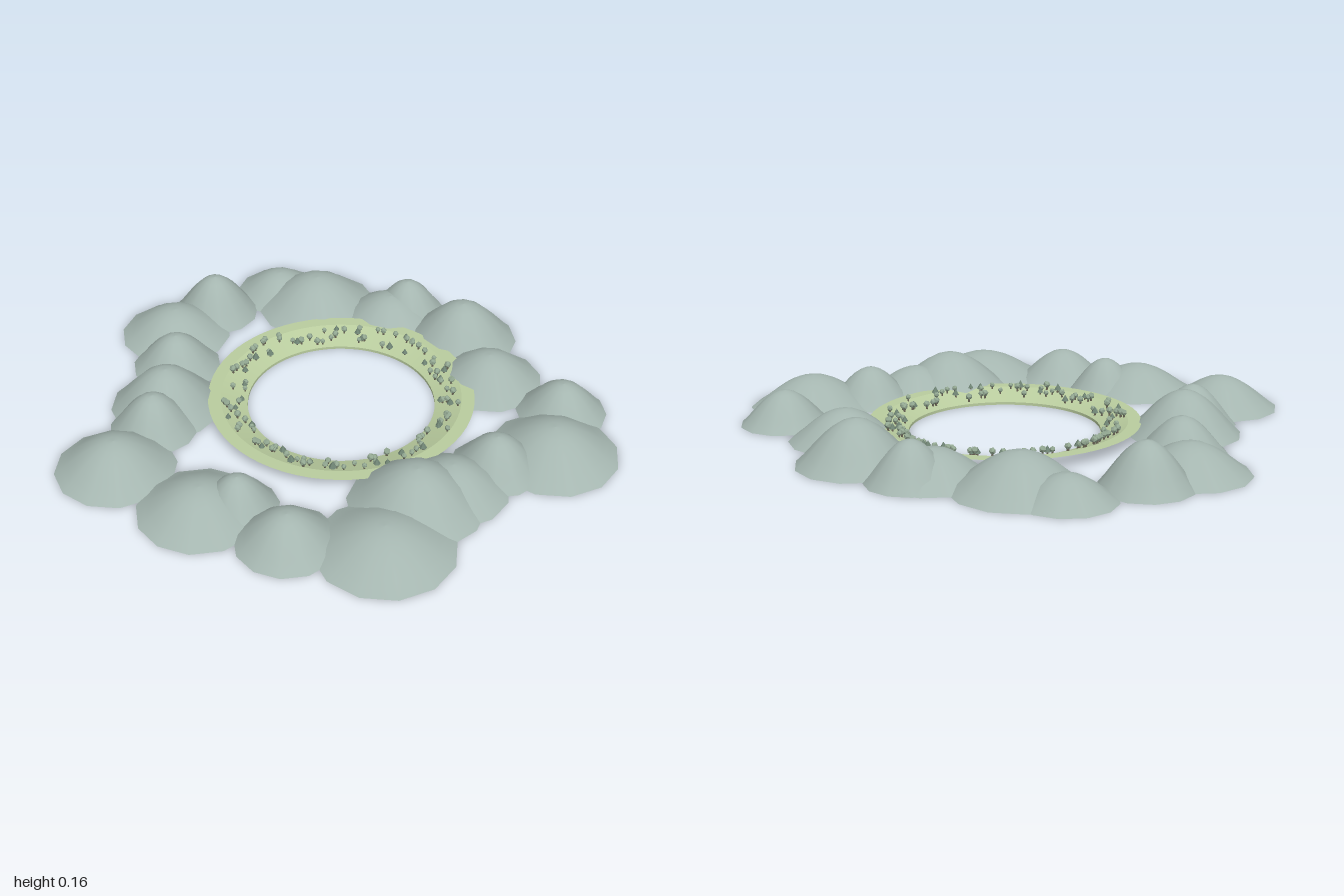
import * as THREE from 'three';
import { mergeGeometries } from 'three/addons/utils/BufferGeometryUtils.js';

const material = (name, color, side = THREE.FrontSide, flatShading = false) => {
  const m = new THREE.MeshStandardMaterial({ color, side, flatShading });
  m.name = name;
  return m;
};

// small seeded random generator
let seed = 7;
const rand = () => (seed = (seed * 16807) % 2147483647) / 2147483647;

// x, z, radius, height of each hill
const HILLS = [
  [0.07, -0.79, 0.21, 0.11], [0.28, -0.76, 0.165, 0.16], [-0.09, -0.65, 0.165, 0.135],
  [-0.30, -0.52, 0.205, 0.16], [-0.43, -0.47, 0.16, 0.145], [-0.68, -0.43, 0.215, 0.12],
  [-0.68, -0.05, 0.22, 0.105], [-0.59, 0.04, 0.145, 0.13], [-0.63, 0.28, 0.18, 0.12],
  [-0.47, 0.56, 0.245, 0.10], [-0.22, 0.52, 0.24, 0.15], [-0.09, 0.58, 0.20, 0.11],
  [0.10, 0.64, 0.165, 0.135], [0.28, 0.765, 0.235, 0.12], [0.51, 0.67, 0.165, 0.125],
  [0.52, 0.355, 0.20, 0.115], [0.69, 0.13, 0.21, 0.16], [0.715, -0.14, 0.155, 0.145],
  [0.64, -0.17, 0.20, 0.105], [0.55, -0.46, 0.235, 0.13], [0.54, -0.64, 0.17, 0.09],
];
const CENTER = [0.08, -0.008];
const INNER = 0.343, CREST = 0.44, OUTER = 0.487;
const INNER_Y = 0.01, CREST_Y = 0.045;

export function createModel() {
  const model = new THREE.Group();
  model.name = 'valley';
  const hillMat = material('hill grey green', 0xa5b6b0, THREE.DoubleSide);
  const meadowMat = material('meadow green', 0xb9cc9e, THREE.DoubleSide);
  const leafMat = material('leaf green', 0x93a892, THREE.FrontSide, true);
  const darkLeafMat = material('dark leaf green', 0x6f8474, THREE.FrontSide, true);
  const trunkMat = material('trunk brown', 0x6a6455);

  // open hills, rounded on top with straighter feet
  const hillProfile = [];
  for (let i = 0; i <= 8; i++) {
    const t = 1 - i / 8;
    hillProfile.push(new THREE.Vector2(t, Math.max(0, Math.cos(t * Math.PI / 2)) ** 1.15));
  }
  const hillGeo = new THREE.LatheGeometry(hillProfile, 12);
  const hills = new THREE.Group();
  hills.name = 'hills';
  HILLS.forEach(([x, z, r, h], i) => {
    const hill = new THREE.Mesh(hillGeo, hillMat);
    hill.name = `hill${i + 1}`;
    hill.position.set(x, 0, z);
    hill.scale.set(r, h, r);
    hill.rotation.y = i % 2 ? Math.PI / 12 : 0;
    hills.add(hill);
  });
  model.add(hills);

  // ring meadow: flat rim, inward slope and low inner bank
  const meadow = new THREE.Group();
  meadow.name = 'meadow';
  meadow.position.set(CENTER[0], 0, CENTER[1]);
  const profile = [[OUTER, CREST_Y], [CREST, CREST_Y], [INNER, INNER_Y], [INNER, 0]]
    .map(([r, y]) => new THREE.Vector2(r, y));
  ['meadowRim', 'meadowSlope', 'meadowBank'].forEach((name, i) => {
    const band = new THREE.Mesh(new THREE.LatheGeometry([profile[i], profile[i + 1]], 64), meadowMat);
    band.name = name;
    meadow.add(band);
  });
  model.add(meadow);

  // little trees scattered over the slope
  const crown = new THREE.IcosahedronGeometry(0.012, 0);
  const fir = new THREE.ConeGeometry(0.013, 0.022, 6).toNonIndexed();
  const trunk = new THREE.CylinderGeometry(0.003, 0.004, 0.012, 5);
  const crowns = [], firs = [], trunks = [];
  for (let i = 0; i < 125; i++) {
    const a = (i + rand() * 4) / 125 * Math.PI * 2;
    const r = 0.358 + rand() * 0.077;
    const s = 0.8 + rand() * 0.35;
    const ground = INNER_Y + (CREST_Y - INNER_Y) * (r - INNER) / (CREST - INNER);
    const place = (geo, y) => geo.clone().rotateY(a * 5).scale(s, s, s)
      .translate(Math.cos(a) * r, ground + y * s, Math.sin(a) * r);
    trunks.push(place(trunk, 0.005));
    if (i % 4 === 0) firs.push(place(fir, 0.02));
    else crowns.push(place(crown, 0.018));
  }
  const trees = new THREE.Group();
  trees.name = 'trees';
  trees.position.copy(meadow.position);
  [['roundCrowns', crowns, leafMat], ['firCrowns', firs, darkLeafMat], ['trunks', trunks, trunkMat]]
    .forEach(([name, parts, mat]) => {
      const mesh = new THREE.Mesh(mergeGeometries(parts), mat);
      mesh.name = name;
      trees.add(mesh);
    });
  model.add(trees);

  return model;
}
